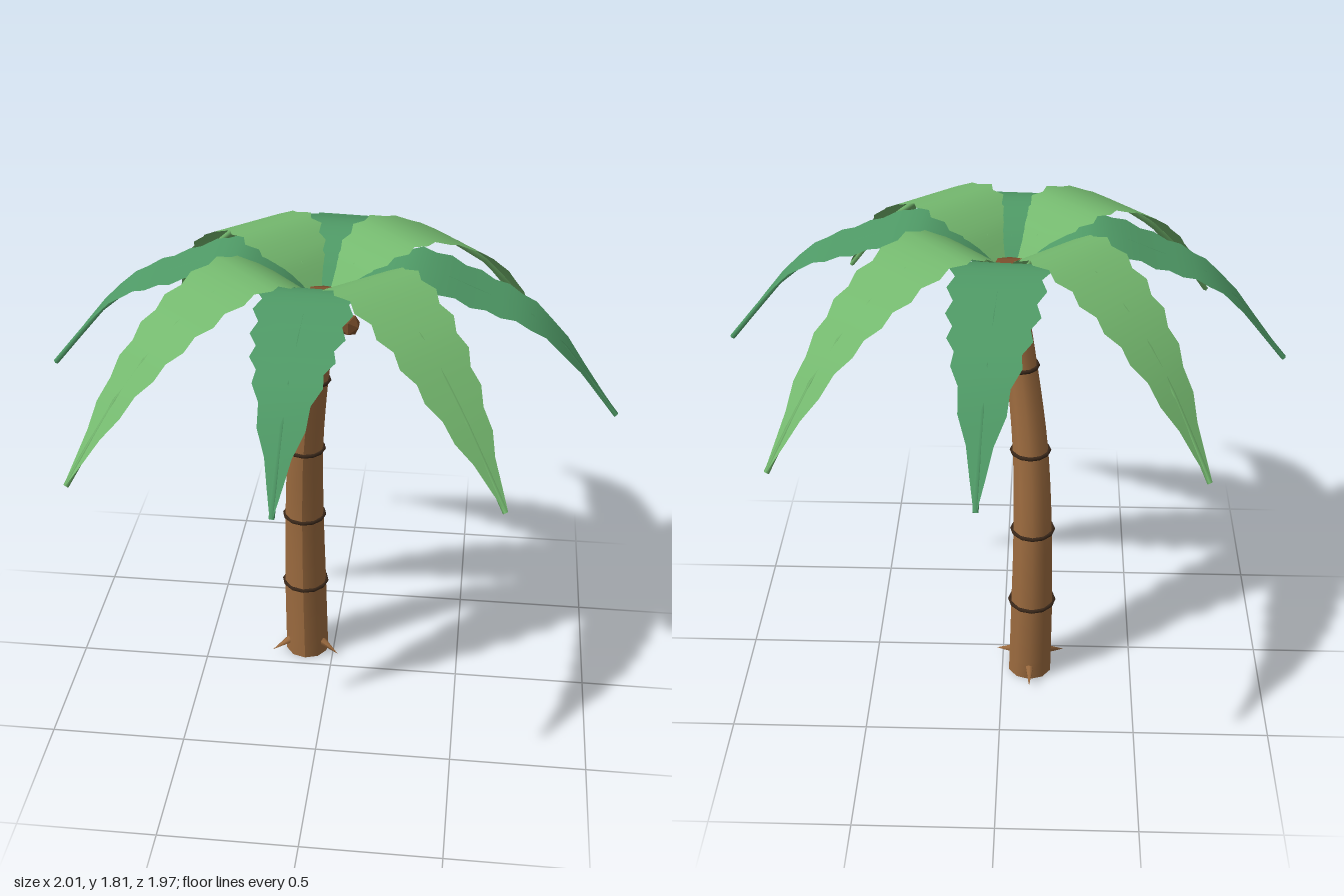
import * as THREE from 'three';

const mat = (color, extra = {}) => new THREE.MeshStandardMaterial({ color, ...extra });
const bark = mat(0x9c6b3f);
const ringMat = mat(0x3a281a);
const husk = mat(0x7a4e2c, { flatShading: true });
const green = {
  light: mat(0x74b86e, { side: THREE.DoubleSide }),
  dark: mat(0x4f9a66, { side: THREE.DoubleSide }),
};

const CROWN = new THREE.Vector3(-0.02, 1.61, 0.045);

// Trunk stations: x, y, z, radius
const STATIONS = [
  [-0.107, 0, -0.122, 0.085], [-0.112, 0.33, -0.122, 0.082], [-0.112, 0.65, -0.11, 0.075],
  [-0.1, 0.97, -0.068, 0.067], [-0.064, 1.29, -0.01, 0.058], [-0.022, 1.56, 0.035, 0.054],
];
const spine = new THREE.CatmullRomCurve3(STATIONS.map(([x, y, z]) => new THREE.Vector3(x, y, z)));
const trunkRadius = (t) => {
  const f = t * (STATIONS.length - 1);
  const i = Math.min(Math.floor(f), STATIONS.length - 2);
  return THREE.MathUtils.lerp(STATIONS[i][3], STATIONS[i + 1][3], f - i);
};

function add(parent, name, geometry, material) {
  const mesh = new THREE.Mesh(geometry, material);
  mesh.name = name;
  parent.add(mesh);
  return mesh;
}

// Unit cylinder bent and tapered along the spine
function trunkGeometry() {
  const g = new THREE.CylinderGeometry(1, 1, 1, 10, 20);
  const p = g.attributes.position;
  for (let i = 0; i < p.count; i++) {
    const t = THREE.MathUtils.clamp(p.getY(i) + 0.5, 0, 1);
    const c = spine.getPoint(t);
    const r = trunkRadius(t);
    p.setXYZ(i, c.x + p.getX(i) * r, c.y, c.z + p.getZ(i) * r);
  }
  g.computeVertexNormals();
  return g;
}

// Frond arcs: distance from the crown (fraction of length) and height; the last is the tip
const ARCS = {
  dark: [[0.03, 1.63], [0.15, 1.73], [0.3, 1.785], [0.52, 1.72], [0.73, 1.625]],
  light: [[0.03, 1.63], [0.15, 1.75], [0.3, 1.81], [0.53, 1.73], [0.75, 1.56]],
};
// Blade width along the frond
const widths = new THREE.SplineCurve([
  [0, 0.09], [0.15, 0.22], [0.3, 0.33], [0.5, 0.325], [0.68, 0.28], [0.86, 0.18], [1, 0.015],
].map(([t, w]) => new THREE.Vector2(t, w)));

// Saw-edged blade with a stem beneath, running outwards along local +z
function frond(kind, tipX, tipY, tipZ) {
  const group = new THREE.Group();
  group.name = kind + 'Frond';
  const dx = tipX - CROWN.x, dz = tipZ - CROWN.z;
  const length = Math.hypot(dx, dz);
  const points = [...ARCS[kind], [1, tipY]].map(([r, y]) => new THREE.Vector3(0, y, r * length));
  const arc = new THREE.CatmullRomCurve3(points);

  const rows = 22;
  const blade = new THREE.PlaneGeometry(1, 1, 2, rows).rotateX(-Math.PI / 2);
  const p = blade.attributes.position;
  for (let i = 0; i < p.count; i++) {
    const row = Math.floor(i / 3);
    const c = arc.getPoint(row / rows);
    const tooth = row % 2 ? 1 : 0.85;
    p.setXYZ(i, p.getX(i) * widths.getPoint(row / rows).y * tooth, c.y, c.z);
  }
  blade.computeVertexNormals();
  add(group, 'blade', blade, green[kind]);

  const stemCurve = new THREE.CatmullRomCurve3(
    points.map((v, i) => v.clone().setY(v.y - (i === 0 ? 0.03 : 0.01))));
  add(group, 'stem', new THREE.TubeGeometry(stemCurve, 8, 0.01, 5), green[kind]);

  group.position.set(CROWN.x, 0, CROWN.z);
  group.rotation.y = Math.atan2(dx, dz);
  return group;
}

export function createModel() {
  const model = new THREE.Group();
  model.name = 'palmTree';

  add(model, 'trunk', trunkGeometry(), bark);

  // Dark growth rings, square to the leaning trunk
  for (let i = 1; i <= 4; i++) {
    const t = i / 5;
    const ring = add(model, 'trunkRing',
      new THREE.TorusGeometry(trunkRadius(t) + 0.001, 0.008, 5, 12).rotateX(Math.PI / 2), ringMat);
    ring.position.copy(spine.getPoint(t));
  }

  // Root spurs around the foot
  const up = new THREE.Vector3(0, 1, 0);
  for (let i = 0; i < 3; i++) {
    const a = Math.PI + (i * Math.PI * 2) / 3;
    const out = new THREE.Vector3(Math.sin(a), 0, Math.cos(a));
    const root = add(model, 'root', new THREE.ConeGeometry(0.02, 0.1, 6), bark);
    root.position.set(STATIONS[0][0], 0.042, STATIONS[0][2]).addScaledVector(out, 0.105);
    root.quaternion.setFromUnitVectors(up, out.clone().setY(-0.4).normalize());
  }

  // Crown heart and coconuts
  add(model, 'crownHeart', new THREE.IcosahedronGeometry(0.08, 0), husk).position.copy(CROWN);
  for (let i = 0; i < 3; i++) {
    const a = (i * Math.PI * 2) / 3;
    const nut = add(model, 'coconut', new THREE.IcosahedronGeometry(0.042, 0), husk);
    nut.position.set(CROWN.x + 0.09 * Math.cos(a), 1.54, CROWN.z + 0.09 * Math.sin(a));
    nut.rotation.y = a;
  }

  // Fronds by tip position, alternating dark and light
  const tips = [
    [0.055, 1.325, -0.985], [0.755, 1.225, -0.63], [1, 1.31, 0.15], [0.635, 1.305, 0.8],
    [-0.07, 1.345, 0.975], [-0.78, 1.255, 0.72], [-0.995, 1.33, 0.015], [-0.685, 1.24, -0.67],
  ];
  tips.forEach((tip, i) => model.add(frond(i % 2 ? 'light' : 'dark', ...tip)));

  return model;
}
